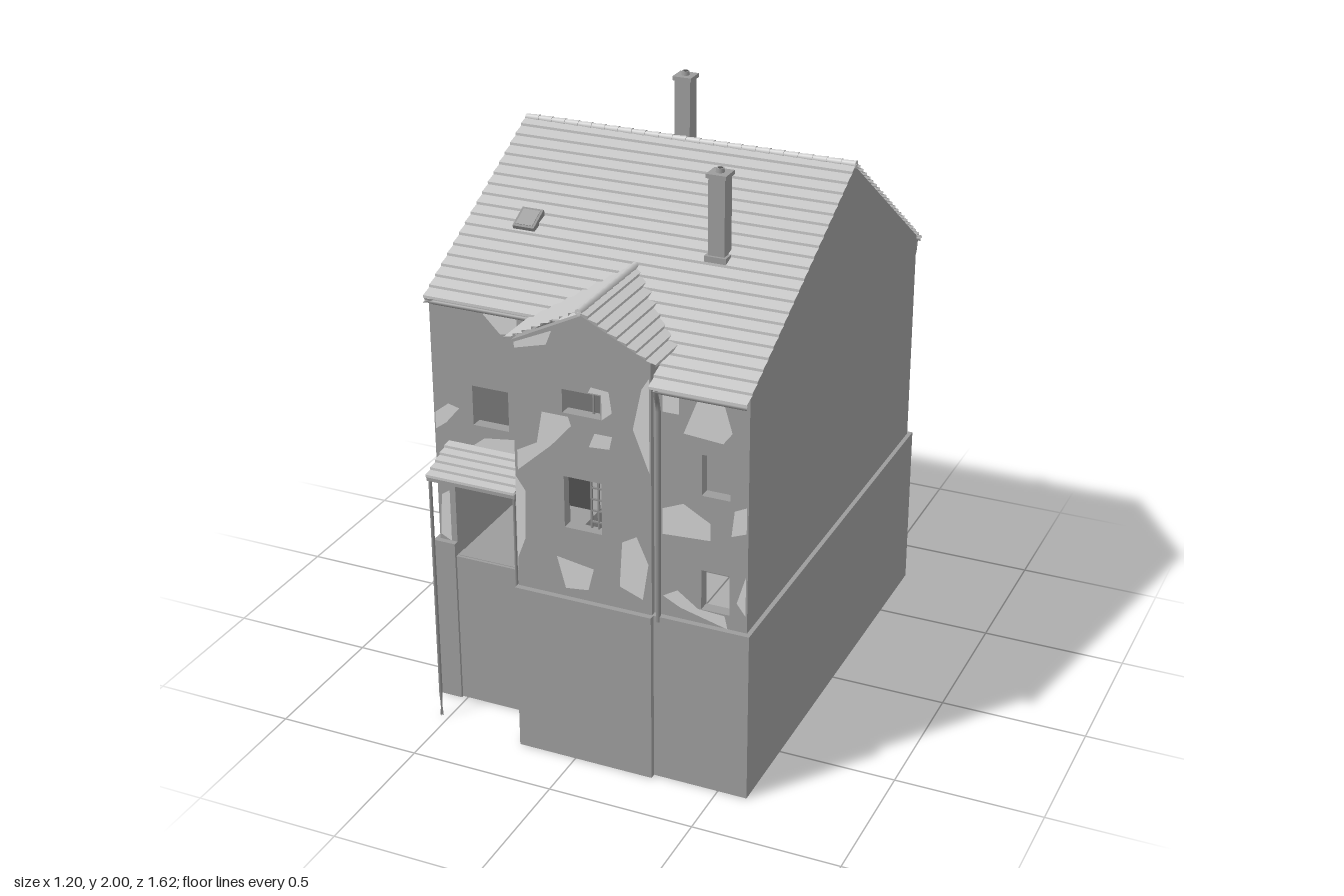
import * as THREE from 'three';

const mat = (name, color, side = THREE.FrontSide) => {
  const m = new THREE.MeshStandardMaterial({ color, side });
  m.name = name;
  return m;
};

export function createModel() {
  const root = new THREE.Group();
  root.name = 'townHouse';
  const plaster = mat('plaster', 0x9c9c9c, THREE.DoubleSide);
  const patchMat = mat('barePatch', 0xd0d0d0);
  const tile = mat('roofTile', 0xc6c6c6, THREE.DoubleSide);
  const metal = mat('metal', 0x8c8c8c);
  const dark = mat('darkGlass', 0x505050);

  const add = (name, geo, material, parent = root) => {
    const m = new THREE.Mesh(geo, material);
    m.name = name;
    parent.add(m);
    return m;
  };
  // box given by its two corners
  const box = (name, a, b, material, parent) => {
    const m = add(name, new THREE.BoxGeometry(b[0] - a[0], b[1] - a[1], b[2] - a[2]), material, parent);
    m.position.set((a[0] + b[0]) / 2, (a[1] + b[1]) / 2, (a[2] + b[2]) / 2);
    return m;
  };
  const poly = pts => new THREE.Shape(pts.map(p => new THREE.Vector2(p[0], p[1])));
  const rect = (x0, y0, x1, y1) => poly([[x0, y0], [x1, y0], [x1, y1], [x0, y1]]);
  // arched opening
  const arch = (x0, x1) => {
    const s = new THREE.Shape();
    s.moveTo(x0, 0.552);
    s.lineTo(x1, 0.552);
    s.lineTo(x1, 0.845);
    s.quadraticCurveTo((x0 + x1) / 2, 0.925, x0, 0.845);
    s.closePath();
    return s;
  };
  // wall with openings, outer face at z
  const wall = (name, outline, holes, z, patches = [], parent = root) => {
    const s = poly(outline);
    s.holes.push(...holes);
    const m = add(name, new THREE.ExtrudeGeometry(s, { depth: 0.04, bevelEnabled: false, curveSegments: 10 }), plaster, parent);
    m.position.z = z - 0.04;
    patches.forEach(p => {
      add('plasterPatch', new THREE.ShapeGeometry(poly(p)), patchMat, parent).position.z = z + 0.002;
    });
  };

  // front walls: recessed left part, gabled bay, right part
  wall('leftFrontWall', [[-0.585, 0.55], [-0.2, 0.55], [-0.2, 1.475], [-0.585, 1.475]],
    [arch(-0.52, -0.225), rect(-0.44, 1.05, -0.31, 1.19)], 0.62, [
      [[-0.33, 1.39], [-0.27, 1.4], [-0.27, 1.46], [-0.4, 1.46]],
      [[-0.29, 1.18], [-0.21, 1.08], [-0.205, 1.19], [-0.25, 1.2]],
      [[-0.58, 1.01], [-0.54, 1.04], [-0.49, 1.1], [-0.53, 1.11], [-0.58, 1.07]],
      [[-0.58, 0.62], [-0.54, 0.6], [-0.54, 0.79], [-0.57, 0.77]],
      [[-0.45, 0.97], [-0.24, 0.97], [-0.26, 1.03], [-0.4, 1.01]],
    ]);
  wall('bayFrontWall', [[-0.2, 0.55], [0.27, 0.55], [0.27, 1.47], [0.04, 1.585], [-0.2, 1.465]],
    [rect(-0.03, 0.85, 0.1, 1.03), rect(-0.03, 1.25, 0.1, 1.33)], 0.79, [
      [[-0.19, 1.44], [-0.08, 1.47], [-0.06, 1.52], [-0.19, 1.46]],
      [[-0.19, 1.02], [-0.07, 1.13], [0, 1.21], [-0.01, 1.24], [-0.1, 1.24], [-0.12, 1.13], [-0.19, 1.09]],
      [[0.105, 1.25], [0.14, 1.28], [0.13, 1.35], [0.07, 1.355], [0.06, 1.335], [0.105, 1.335]],
      [[0.06, 1.15], [0.13, 1.155], [0.14, 1.2], [0.08, 1.2]],
      [[0.16, 0.68], [0.24, 0.65], [0.26, 0.78], [0.22, 0.87], [0.17, 0.84]],
      [[-0.03, 0.63], [0.05, 0.64], [0.07, 0.72], [-0.06, 0.74]],
      [[0.21, 1.24], [0.265, 1.1], [0.265, 1.42], [0.24, 1.38]],
      [[-0.2, 0.7], [-0.17, 0.78], [-0.165, 0.95], [-0.2, 1.0]],
    ]);
  wall('rightFrontWall', [[0.27, 0.55], [0.585, 0.55], [0.585, 1.405], [0.27, 1.405]],
    [rect(0.43, 0.65, 0.525, 0.79), rect(0.43, 1.05, 0.525, 1.19)], 0.77, [
      [[0.37, 1.25], [0.5, 1.24], [0.53, 1.28], [0.5, 1.38], [0.42, 1.38]],
      [[0.3, 0.89], [0.46, 0.9], [0.46, 0.96], [0.37, 1.01], [0.3, 0.98]],
      [[0.3, 1.31], [0.355, 1.31], [0.355, 1.37], [0.3, 1.37]],
      [[0.3, 0.67], [0.36, 0.64], [0.52, 0.6], [0.51, 0.645], [0.42, 0.65], [0.35, 0.7]],
      [[0.53, 0.93], [0.58, 0.95], [0.58, 1.04], [0.54, 1.02]],
      [[0.55, 0.7], [0.58, 0.66], [0.58, 0.8]],
    ]);

  // back wall, drawn as seen from behind
  const back = new THREE.Group();
  back.name = 'backWallGroup';
  back.rotation.y = Math.PI;
  root.add(back);
  const backHoles = [arch(0.225, 0.52)];
  [[-0.46, -0.29], [-0.1, 0.07], [0.3, 0.46]].forEach(([a, b], i) => {
    backHoles.push(rect(a, 1.05, b, 1.19));
    if (i < 2) backHoles.push(rect(a, 0.65, b, 0.79));
  });
  wall('backWall', [[-0.585, 0.55], [0.585, 0.55], [0.585, 1.375], [-0.585, 1.375]], backHoles, 0.765, [
    [[-0.58, 0.94], [-0.3, 0.95], [-0.1, 0.89], [0.2, 0.9], [0.36, 0.92], [0.3, 0.97], [0, 0.96], [-0.25, 1.01], [-0.58, 1.0]],
    [[-0.58, 0.61], [-0.49, 0.62], [-0.48, 0.76], [-0.53, 0.87], [-0.58, 0.85]],
    [[-0.26, 1.08], [-0.13, 1.12], [-0.14, 1.28], [-0.22, 1.33], [-0.28, 1.24]],
    [[-0.27, 0.63], [-0.13, 0.64], [-0.15, 0.74], [-0.25, 0.72]],
    [[0.09, 0.62], [0.2, 0.63], [0.2, 0.84], [0.13, 0.8]],
    [[0.1, 1.2], [0.24, 1.22], [0.22, 1.33], [0.12, 1.3]],
    [[0.49, 1.02], [0.58, 0.95], [0.58, 1.2], [0.51, 1.22]],
    [[-0.57, 1.24], [-0.42, 1.22], [-0.4, 1.32], [-0.55, 1.33]],
    [[0.53, 0.65], [0.58, 0.62], [0.58, 0.85], [0.54, 0.83]],
  ], back);

  // gable side walls, profile in z and y
  const roofY = z => (z > -0.09 ? 1.86 - 0.517 * (z + 0.09) : 1.86 + 0.708 * (z + 0.09));
  [[0.585, 0.77, 'leftSideWall'], [-0.555, 0.62, 'rightSideWall']].forEach(([x, zf, name]) => {
    const s = poly([[-0.765, 0.55], [zf, 0.55], [zf, roofY(zf) - 0.008], [-0.09, 1.852], [-0.765, roofY(-0.765) - 0.008]]);
    const m = add(name, new THREE.ExtrudeGeometry(s, { depth: 0.03, bevelEnabled: false }), plaster);
    m.rotation.y = -Math.PI / 2;
    m.position.x = x;
  });
  box('bayCheekRight', [-0.2, 0.55, 0.59], [-0.17, 1.465, 0.75], plaster);
  box('bayCheekLeft', [0.24, 0.55, 0.6], [0.27, 1.47, 0.75], plaster);

  // stone base, open underneath, with a sloping top lip
  const base = (x0, z0, x1, z1, h = 0.6) => {
    const m = box('plinth', [x0, 0, z0], [x1, h, z1], plaster);
    return m;
  };
  base(0.56, -0.78, 0.6, 0.79);
  base(-0.6, -0.78, -0.56, 0.64);
  base(-0.56, -0.78, -0.52, -0.74);
  base(-0.52, -0.77, -0.225, -0.74, 0.55);
  base(-0.225, -0.78, 0.56, -0.74);
  base(-0.56, 0.6, -0.52, 0.64);
  base(-0.52, 0.6, -0.225, 0.63, 0.55);
  base(-0.225, 0.6, -0.205, 0.64);
  base(-0.205, 0.6, -0.165, 0.81);
  base(-0.165, 0.77, 0.275, 0.81);
  base(0.275, 0.75, 0.56, 0.79);
  box('passageFloor', [-0.52, 0.535, -0.75], [-0.225, 0.55, 0.61], plaster);

  // overlapping tile courses between two side lines; t runs from top to bottom
  const courses = (name, a, b, rows, lift = 0.009) => {
    const pos = [];
    const quad = (p, q, r, s) => [p, q, r, p, r, s].forEach(v => pos.push(v.x, v.y, v.z));
    const up = v => v.clone().setY(v.y + lift);
    for (let i = 0; i < rows; i++) {
      const t0 = i / rows, t1 = (i + 1) / rows;
      const a0 = a(t0), b0 = b(t0), a1 = a(t1), b1 = b(t1);
      quad(a0, up(a1), up(b1), b0);
      quad(up(a1), a1, b1, up(b1));
    }
    const g = new THREE.BufferGeometry();
    g.setAttribute('position', new THREE.Float32BufferAttribute(pos, 3));
    g.computeVertexNormals();
    return add(name, g, tile);
  };
  const V = (x, y, z) => new THREE.Vector3(x, y, z);
  const onRoof = (x, z0, z1) => t => {
    const z = z0 + (z1 - z0) * t;
    return V(x, roofY(z), z);
  };
  courses('frontRoof', onRoof(-0.59, -0.09, 0.645), onRoof(0.59, -0.09, 0.645), 18);
  courses('frontRoofLower', onRoof(0.27, 0.645, 0.81), onRoof(0.59, 0.645, 0.81), 4);
  courses('backRoof', onRoof(0.59, -0.09, -0.81), onRoof(-0.59, -0.09, -0.81), 21);
  // bay roof running back into the main slope
  [-1, 1].forEach(s => {
    const valley = t => V(0.04 + s * 0.255 * t, 1.605 - 0.135 * t, 0.37 + 0.27 * t);
    const verge = t => V(0.04 + s * 0.255 * t, 1.605 - 0.135 * t, 0.81);
    courses('bayRoof', s < 0 ? valley : verge, s < 0 ? verge : valley, 8);
  });
  // canopy over the entrance, with posts
  courses('canopy', t => V(-0.535, 0.975 - 0.06 * t, 0.62 + 0.16 * t), t => V(-0.215, 0.975 - 0.06 * t, 0.62 + 0.16 * t), 5);
  box('canopyBeam', [-0.535, 0.9, 0.755], [-0.215, 0.915, 0.775], plaster);

  const tube = (name, pts, r) => add(name, new THREE.TubeGeometry(
    new THREE.CatmullRomCurve3(pts.map(p => V(...p)), false, 'catmullrom', 0.1), pts.length * 5, r, 8), metal);
  tube('canopyPost', [[-0.527, 0, 0.765], [-0.527, 0.91, 0.765]], 0.006);
  tube('canopyPost', [[-0.222, 0, 0.765], [-0.222, 0.91, 0.765]], 0.005);

  // ridge tiles
  const ridgeTile = (x, y, z, len, alongX) => {
    const m = add('ridgeTile', new THREE.CylinderGeometry(0.011, 0.014, len, 8), tile);
    m.position.set(x, y, z);
    if (alongX) m.rotation.z = Math.PI / 2;
    else m.rotation.x = Math.PI / 2;
  };
  for (let i = 0; i < 24; i++) ridgeTile(-0.565 + i * 0.0491, 1.858, -0.09, 0.05, true);
  for (let i = 0; i < 10; i++) ridgeTile(0.04, 1.604, 0.4 + i * 0.043, 0.044, false);

  // chimneys
  const chimney = (x, z, foot, top) => {
    const g = new THREE.Group();
    g.name = 'chimney';
    root.add(g);
    box('stack', [x - 0.028, foot - 0.06, z - 0.028], [x + 0.028, top - 0.022, z + 0.028], plaster, g);
    box('footFlashing', [x - 0.037, foot - 0.05, z - 0.037], [x + 0.037, foot + 0.012, z + 0.037], plaster, g);
    box('cap', [x - 0.034, top - 0.028, z - 0.034], [x + 0.034, top - 0.014, z + 0.034], plaster, g);
    const pot = add('pot', new THREE.CylinderGeometry(0.013, 0.015, 0.02, 12), plaster, g);
    pot.position.set(x, top - 0.01, z);
    const hole = add('flue', new THREE.CylinderGeometry(0.008, 0.008, 0.002, 12), dark, g);
    hole.position.set(x, top, z);
  };
  chimney(0.293, 0.322, 1.645, 1.94);
  chimney(-0.125, -0.362, 1.665, 2.0);

  // roof lights lying on the slopes
  [[-0.378, 0.315, Math.atan(0.517)], [0.04, -0.333, -Math.atan(0.708)]].forEach(([x, z, tilt]) => {
    const g = new THREE.Group();
    g.name = 'roofLight';
    g.position.set(x, roofY(z) + 0.01, z);
    g.rotation.x = tilt;
    root.add(g);
    box('frame', [-0.038, -0.01, -0.042], [0.038, 0.012, 0.042], metal, g);
    box('pane', [-0.03, 0.01, -0.033], [0.03, 0.014, 0.033], z < 0 ? dark : plaster, g);
  });

  // bay window pane and glazing bars
  box('windowPane', [-0.03, 0.91, 0.75], [0.05, 1.03, 0.756], dark);
  for (let i = 0; i < 4; i++) box('glazingBar', [0.05, 0.87 + i * 0.04, 0.755], [0.1, 0.875 + i * 0.04, 0.762], metal);
  [0.05, 0.075].forEach(x => box('glazingBar', [x - 0.003, 0.85, 0.755], [x + 0.003, 1.03, 0.762], metal));
  box('glazingBar', [0.06, 1.25, 0.755], [0.066, 1.33, 0.762], metal);

  // gutters and downpipes
  tube('gutter', [[0.28, 1.39, 0.803], [0.59, 1.39, 0.803]], 0.008);
  tube('gutter', [[-0.59, 1.472, 0.645], [-0.205, 1.472, 0.645]], 0.008);
  tube('gutter', [[-0.59, 1.348, -0.805], [0.59, 1.348, -0.805]], 0.008);
  tube('downpipe', [[0.29, 1.39, 0.803], [0.29, 1.36, 0.795], [0.29, 1.32, 0.78], [0.29, 0.58, 0.785]], 0.008);
  tube('downpipe', [[-0.212, 1.47, 0.645], [-0.212, 1.4, 0.63], [-0.212, 0.58, 0.632]], 0.007);
  tube('downpipe', [[0.57, 1.345, -0.805], [0.57, 1.31, -0.8], [0.57, 1.27, -0.775], [0.57, 0.58, -0.775]], 0.008);
  return root;
}
